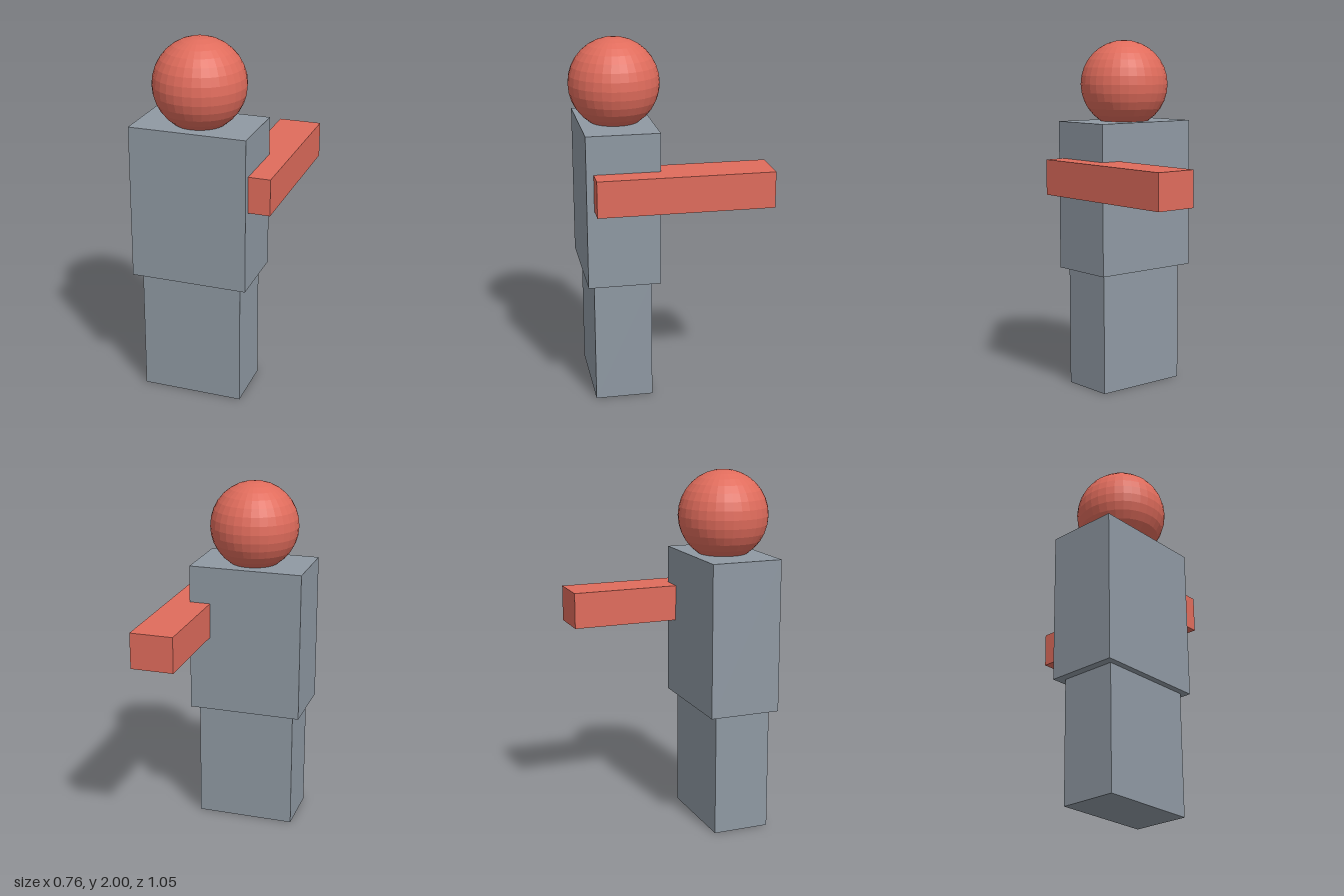
import * as THREE from 'three';

const red = new THREE.MeshStandardMaterial({ color: 0xe06c5c, flatShading: true });
const grey = new THREE.MeshStandardMaterial({ color: 0x8f99a3, flatShading: true });

// Box spanning two opposite corners
function block(name, material, [x0, y0, z0], [x1, y1, z1]) {
  const mesh = new THREE.Mesh(new THREE.BoxGeometry(x1 - x0, y1 - y0, z1 - z0), material);
  mesh.position.set((x0 + x1) / 2, (y0 + y1) / 2, (z0 + z1) / 2);
  mesh.name = name;
  return mesh;
}

export function createModel() {
  const figure = new THREE.Group();
  figure.name = 'blockFigure';

  // Legs and torso, stacked
  figure.add(block('legs', grey, [-0.34, 0, 0.12], [0.22, 0.69, 0.44]));
  figure.add(block('torso', grey, [-0.385, 0.69, 0.075], [0.26, 1.54, 0.475]));

  // Single arm, partly sunk in the torso and reaching backwards
  figure.add(block('arm', red, [0.14, 1.13, -0.525], [0.38, 1.33, 0.435]));

  // Faceted head, slightly sunk in the torso
  const head = new THREE.Mesh(new THREE.SphereGeometry(0.25, 32, 16), red);
  head.position.set(-0.06, 1.75, 0.275);
  head.name = 'head';
  figure.add(head);

  return figure;
}
